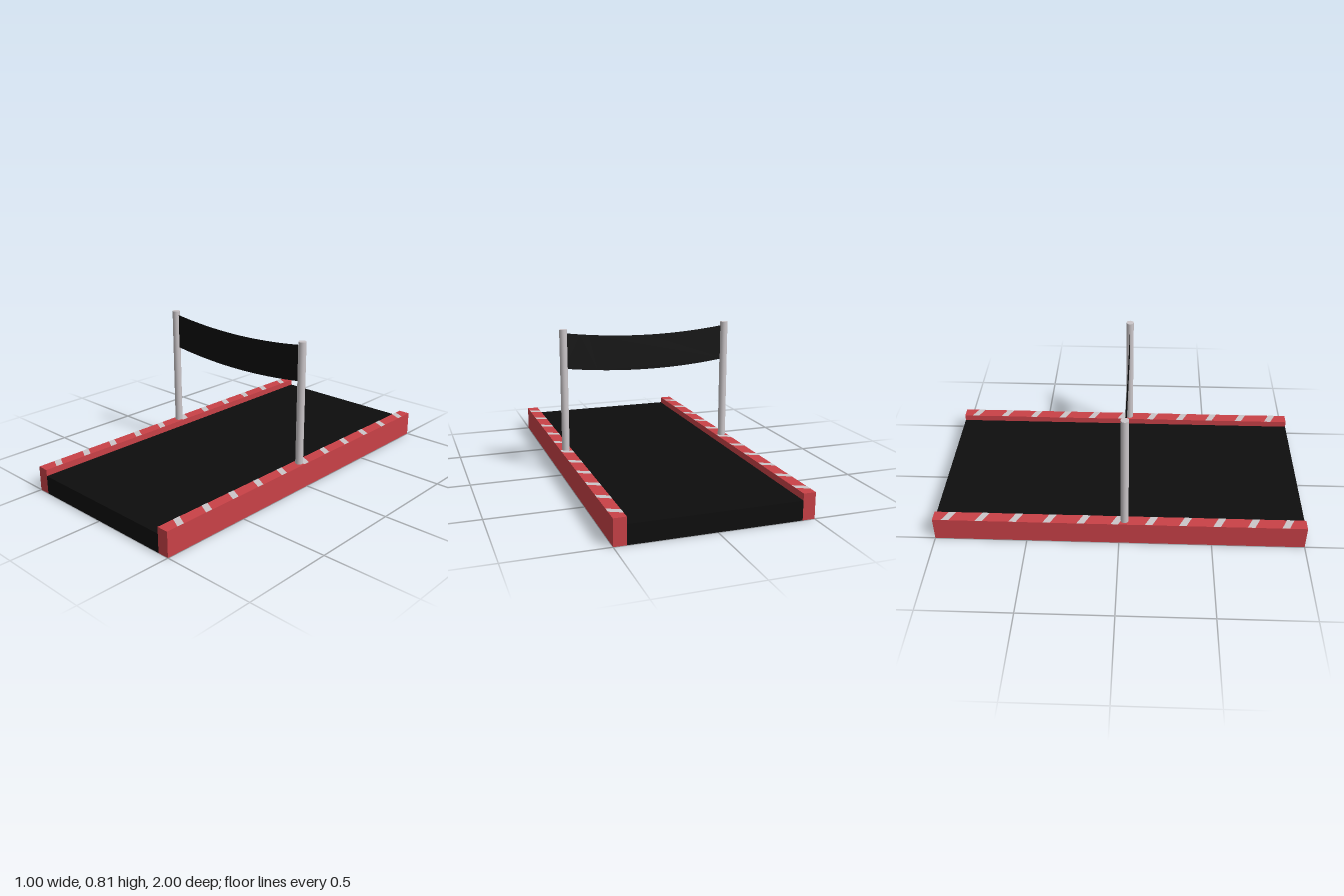
import * as THREE from 'three';

const material = (name, color, extra = {}) => {
  const m = new THREE.MeshStandardMaterial({ color, ...extra });
  m.name = name;
  return m;
};

export function createModel() {
  const black = material('black', 0x0d0d0d, { side: THREE.DoubleSide });
  const red = material('red', 0xc94147);
  const grey = material('lightGrey', 0xcbc6c9);

  const model = new THREE.Group();
  model.name = 'finishGate';
  const add = (name, geometry, mat, x, y, z, parent = model) => {
    const mesh = new THREE.Mesh(geometry, mat);
    mesh.name = name;
    mesh.position.set(x, y, z);
    parent.add(mesh);
    return mesh;
  };

  const railWidth = 0.064, railHeight = 0.135, postZ = 0.03, postX = 0.468;

  // Road deck between the rails
  add('deck', new THREE.BoxGeometry(0.872, 0.1, 2), black, 0, 0.05, 0);

  // Slanted stripe, laid flat on top of a rail
  const w = railWidth / 2, half = 0.02, slant = 0.016;
  const stripe = new THREE.ShapeGeometry(new THREE.Shape([
    new THREE.Vector2(-w, slant - half),
    new THREE.Vector2(w, -slant - half),
    new THREE.Vector2(w, -slant + half),
    new THREE.Vector2(-w, slant + half),
  ]));
  stripe.rotateX(-Math.PI / 2);

  // Kerb rails, their stripes and the banner posts
  for (const [side, s] of [['left', 1], ['right', -1]]) {
    const railX = s * (0.5 - railWidth / 2);
    add(side + 'Rail', new THREE.BoxGeometry(railWidth, railHeight, 2), red, railX, railHeight / 2, 0);

    const stripes = new THREE.Group();
    stripes.name = side + 'RailStripes';
    model.add(stripes);
    for (let i = -5; i <= 5; i++) {
      add('stripe', stripe, grey, railX, railHeight + 0.001, i * 2 / 11 - 0.008, stripes);
    }

    add(side + 'Post', new THREE.CylinderGeometry(0.021, 0.021, 0.67, 16), grey, s * postX, 0.47, postZ);
  }

  // Sagging banner strung between the posts
  const banner = new THREE.Shape();
  banner.moveTo(-postX, 0.592);
  banner.quadraticCurveTo(0, 0.527, postX, 0.592);
  banner.lineTo(postX, 0.786);
  banner.quadraticCurveTo(0, 0.72, -postX, 0.786);
  add('banner', new THREE.ShapeGeometry(banner, 20), black, 0, 0, postZ);

  return model;
}
